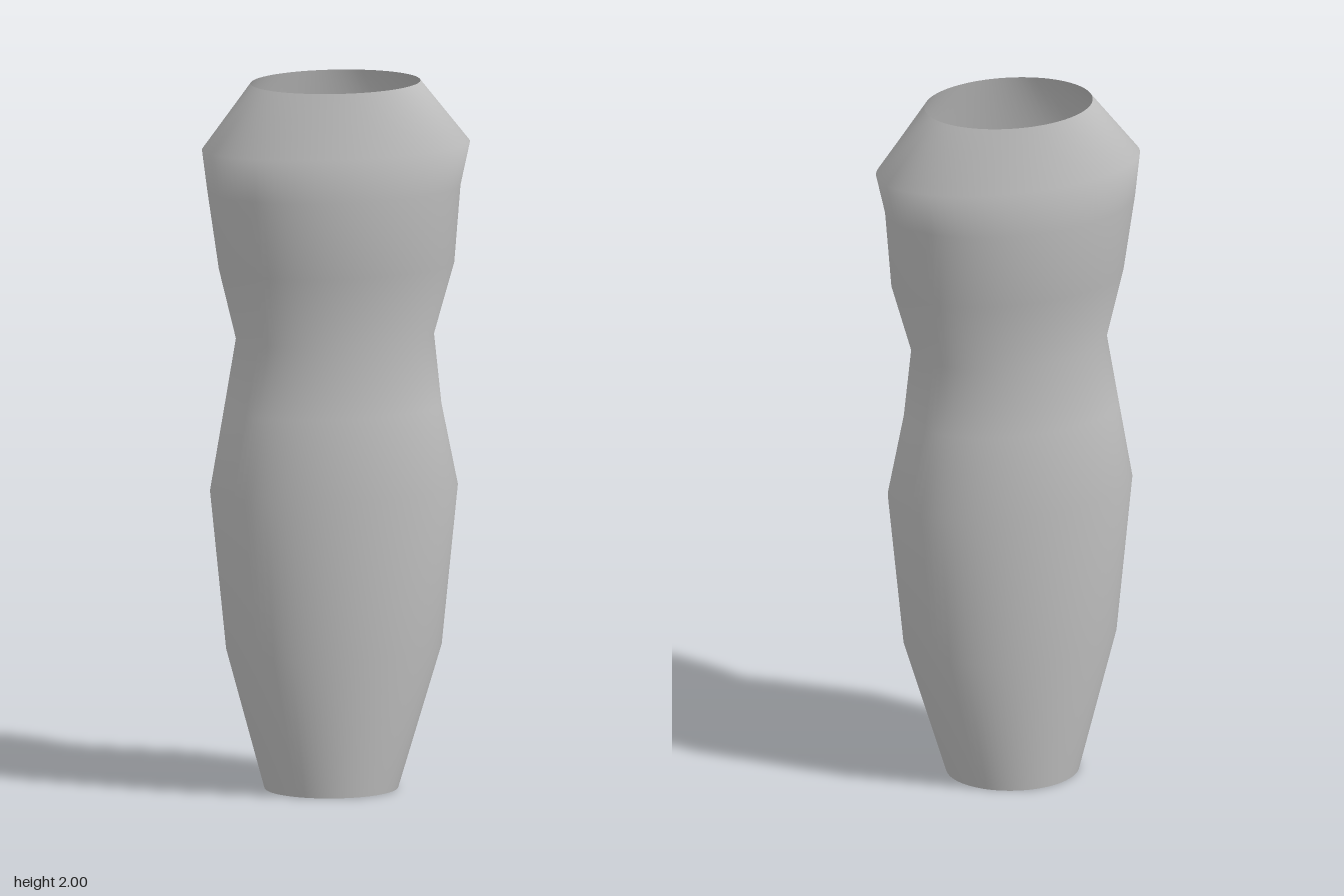
import * as THREE from 'three';
import { mergeVertices } from 'three/addons/utils/BufferGeometryUtils.js';

// Elliptical cross-sections, top to bottom: height, right edge (-x), left edge (+x), half depth
const SECTIONS = [
  [2.0, -0.244, 0.237, 0.186],
  [1.82, -0.385, 0.381, 0.224],
  [1.7, -0.368, 0.352, 0.246],
  [1.48, -0.336, 0.335, 0.216],
  [1.28, -0.287, 0.277, 0.185],
  [1.08, -0.321, 0.298, 0.207],
  [0.85, -0.361, 0.345, 0.23],
  [0.4, -0.314, 0.298, 0.219],
  [0.0, -0.203, 0.172, 0.176],
];

// Open tube whose rings are reshaped to the cross-sections
function loftedSleeve(sections, sides) {
  const geometry = new THREE.CylinderGeometry(1, 1, 1, sides, sections.length - 1, true);
  const position = geometry.attributes.position;
  for (let i = 0; i < position.count; i++) {
    const [y, minX, maxX, depth] = sections[Math.floor(i / (sides + 1))];
    const x = (minX + maxX) / 2 + position.getX(i) * (maxX - minX) / 2;
    position.setXYZ(i, x, y, position.getZ(i) * depth - 0.001);
  }
  // Weld the seam so that shading is smooth all round
  geometry.deleteAttribute('uv');
  geometry.deleteAttribute('normal');
  const welded = mergeVertices(geometry, 1e-4);
  welded.computeVertexNormals();
  return welded;
}

export function createModel() {
  const group = new THREE.Group();
  group.name = 'openSleeve';
  const grey = new THREE.MeshStandardMaterial({ color: 0xc0c0c0, side: THREE.DoubleSide });
  grey.name = 'light grey';
  const sleeve = new THREE.Mesh(loftedSleeve(SECTIONS, 96), grey);
  sleeve.name = 'sleeve';
  group.add(sleeve);
  return group;
}
